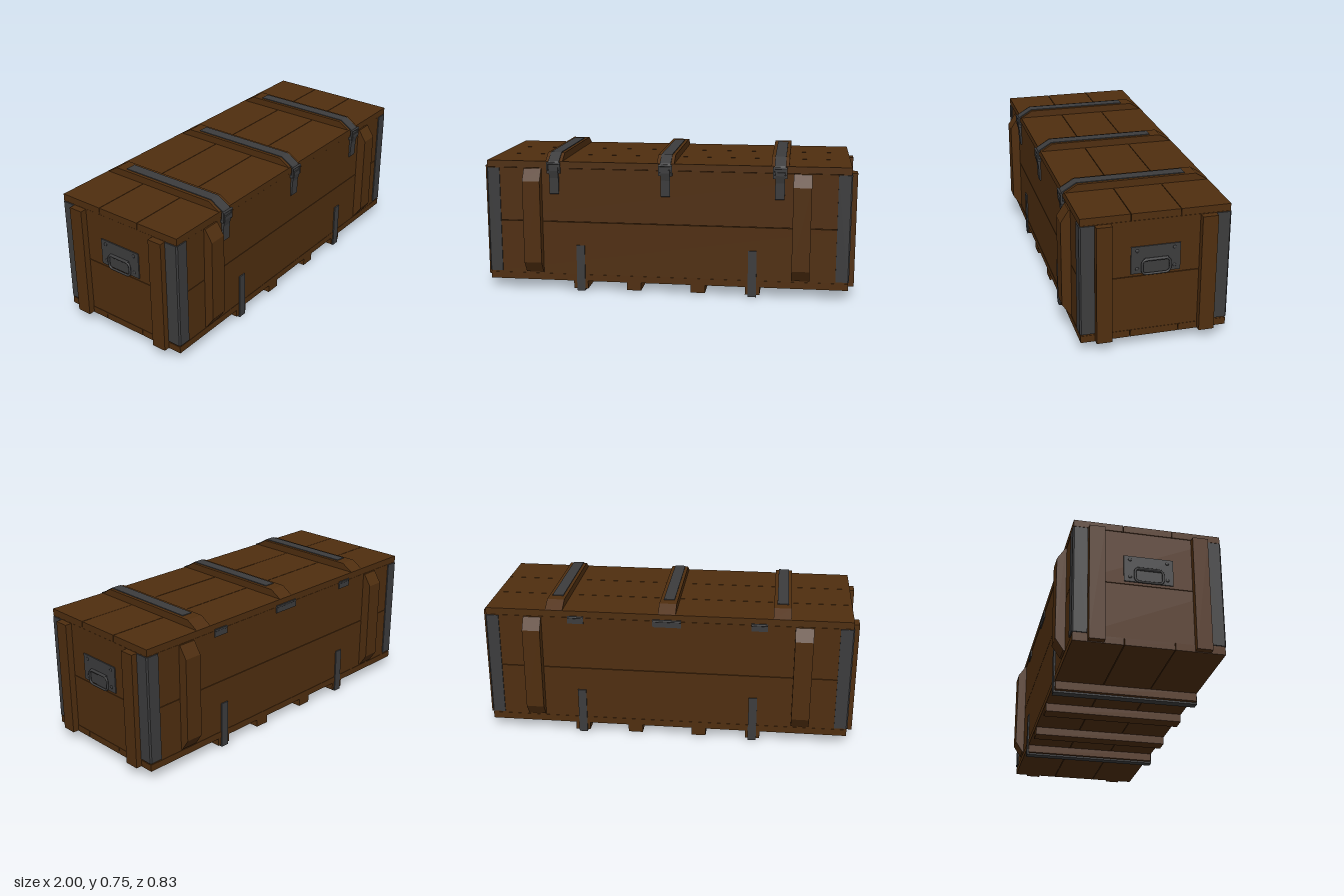
import * as THREE from 'three';

const wood = new THREE.MeshStandardMaterial({ color: 0x4f2e0f });
wood.name = 'brown wood';
const metal = new THREE.MeshStandardMaterial({ color: 0x3c3c3d });
metal.name = 'dark metal';

export function createModel() {
  const model = new THREE.Group();
  model.name = 'crate';

  function add(name, geometry, material, x = 0, y = 0, z = 0) {
    const mesh = new THREE.Mesh(geometry, material);
    mesh.name = name;
    mesh.position.set(x, y, z);
    model.add(mesh);
    return mesh;
  }
  // box given by its lower and upper limits on each axis
  function box(name, material, [x0, x1], [y0, y1], [z0, z1]) {
    return add(name, new THREE.BoxGeometry(x1 - x0, y1 - y0, z1 - z0), material,
      (x0 + x1) / 2, (y0 + y1) / 2, (z0 + z1) / 2);
  }
  // outline in (z, y), extruded along x and centred on x = 0
  function profileX(points, width) {
    const shape = new THREE.Shape(points.map(([z, y]) => new THREE.Vector2(z, y)));
    const g = new THREE.ExtrudeGeometry(shape, { depth: width, bevelEnabled: false });
    return g.translate(0, 0, -width / 2).rotateY(-Math.PI / 2);
  }

  // lid and floor, three planks each
  const seam = 0.0015;
  for (const [z0, z1] of [[-0.37, -0.123 - seam], [-0.123 + seam, 0.123 - seam], [0.123 + seam, 0.37]]) {
    box('lidPlank', wood, [-0.967, 0.967], [0.672, 0.708], [z0, z1]);
    box('floorPlank', wood, [-0.967, 0.967], [0.053, 0.089], [z0, z1]);
  }

  // walls, two planks high
  for (const [y0, y1] of [[0.089, 0.38 - seam], [0.38 + seam, 0.67]]) {
    for (const s of [-1, 1]) {
      box('longWallPlank', wood, [-0.965, 0.965], [y0, y1], s > 0 ? [0.335, 0.368] : [-0.368, -0.335]);
      box('endWallPlank', wood, s > 0 ? [0.93, 0.965] : [-0.965, -0.93], [y0, y1], [-0.335, 0.335]);
    }
  }

  // chamfered battens on the long walls, plain battens on the ends
  const wallBatten = profileX([[0.366, 0.095], [0.376, 0.098], [0.417, 0.16], [0.417, 0.605],
    [0.376, 0.668], [0.366, 0.668]], 0.095);
  for (const sx of [-1, 1]) {
    for (const sz of [-1, 1]) {
      add('wallBatten', wallBatten, wood, sx * 0.717, 0, 0).rotation.y = sz > 0 ? 0 : Math.PI;
      box('endBatten', wood, sx > 0 ? [0.964, 1] : [-1, -0.964], [0.056, 0.668],
        sz > 0 ? [0.22, 0.298] : [-0.298, -0.22]);
    }
  }

  // metal angle irons on the four upright corners
  const irons = [[1, 1], [1, -1], [-1, 1], [-1, -1]];
  for (const [sx, sz] of irons) {
    const p = [[0.9, 0.36], [0.9, 0.374], [0.964, 0.374], [0.971, 0.367], [0.971, 0.3], [0.96, 0.3], [0.96, 0.36]];
    const shape = new THREE.Shape(p.map(([x, z]) => new THREE.Vector2(sx * x, -sz * z)));
    const g = new THREE.ExtrudeGeometry(shape, { depth: 0.57, bevelEnabled: false });
    add('cornerIron', g.rotateX(-Math.PI / 2), metal, 0, 0.098, 0);
  }

  // lid battens with metal straps and front latches
  const lidBatten = profileX([[-0.37, 0.706], [0.37, 0.706], [0.305, 0.746], [-0.305, 0.746]], 0.092);
  const lidStrap = profileX([[-0.25, 0.744], [-0.25, 0.75], [0.307, 0.75], [0.374, 0.71], [0.383, 0.7],
    [0.383, 0.665], [0.376, 0.665], [0.376, 0.695], [0.368, 0.705], [0.304, 0.744]], 0.058);
  const latchTongue = profileX([[0.366, 0.53], [0.376, 0.535], [0.38, 0.62], [0.39, 0.66], [0.39, 0.678],
    [0.376, 0.678], [0.366, 0.665]], 0.05);
  for (const x of [-0.6, 0, 0.6]) {
    add('lidBatten', lidBatten, wood, x);
    add('lidStrap', lidStrap, metal, x);
    add('latchTongue', latchTongue, metal, x);
    box('latchClip', metal, [x - 0.036, x + 0.036], [0.645, 0.661], [0.366, 0.384]);
    for (const s of [-1, 1]) {
      box('latchLoop', metal, [x + s * 0.033 - 0.004, x + s * 0.033 + 0.004], [0.65, 0.7], [0.378, 0.388]);
    }
    const pin = new THREE.CylinderGeometry(0.006, 0.006, 0.074, 10).rotateZ(Math.PI / 2);
    add('latchPin', pin, metal, x, 0.7, 0.384);
  }

  // hinges along the back
  for (const [x, w] of [[-0.485, 0.085], [0, 0.15], [0.485, 0.085]]) {
    box('hingePlate', metal, [x - w / 2, x + w / 2], [0.638, 0.68], [-0.374, -0.366]);
    const barrel = new THREE.CylinderGeometry(0.005, 0.005, w, 10).rotateZ(Math.PI / 2);
    add('hingeBarrel', barrel, metal, x, 0.671, -0.372);
  }

  // skids, the outer two wrapped by U-shaped straps
  for (const x of [-0.465, -0.173, 0.173, 0.465]) {
    box('skid', wood, [x - 0.039, x + 0.039], [0.01, 0.054], [-0.368, 0.368]);
  }
  const skidStrap = profileX([[-0.375, 0], [0.375, 0], [0.375, 0.252], [0.367, 0.252], [0.367, 0.009],
    [-0.367, 0.009], [-0.367, 0.252], [-0.375, 0.252]], 0.045);
  for (const x of [-0.463, 0.463]) add('skidStrap', skidStrap, metal, x);

  // end handles: plate, four rivets, hinge bar and swinging ring
  const ringShape = new THREE.Shape();
  const [w, h, r] = [0.07, 0.037, 0.022];
  ringShape.absarc(w - r, h - r, r, 0, Math.PI / 2);
  ringShape.absarc(-w + r, h - r, r, Math.PI / 2, Math.PI);
  ringShape.absarc(-w + r, -h + r, r, Math.PI, Math.PI * 1.5);
  ringShape.absarc(w - r, -h + r, r, Math.PI * 1.5, Math.PI * 2);
  ringShape.closePath();
  const ringPoints = ringShape.getSpacedPoints(48).slice(0, -1).map((p) => new THREE.Vector3(0, p.y, p.x));
  const ring = new THREE.TubeGeometry(new THREE.CatmullRomCurve3(ringPoints, true), 64, 0.006, 8, true);
  for (const s of [-1, 1]) {
    box('handlePlate', metal, s > 0 ? [0.962, 0.971] : [-0.971, -0.962], [0.395, 0.536], [-0.123, 0.123]);
    for (const z of [-0.093, 0.093]) {
      for (const y of [0.421, 0.515]) {
        const rivet = new THREE.SphereGeometry(0.009, 12, 8).scale(0.5, 1, 1);
        add('handleRivet', rivet, metal, s * 0.971, y, z);
      }
    }
    const bar = new THREE.CylinderGeometry(0.008, 0.008, 0.12, 10).rotateX(Math.PI / 2);
    add('handleBar', bar, metal, s * 0.975, 0.466, 0);
    add('handleRing', ring, metal, s * 0.979, 0.43, 0);
  }
  return model;
}
